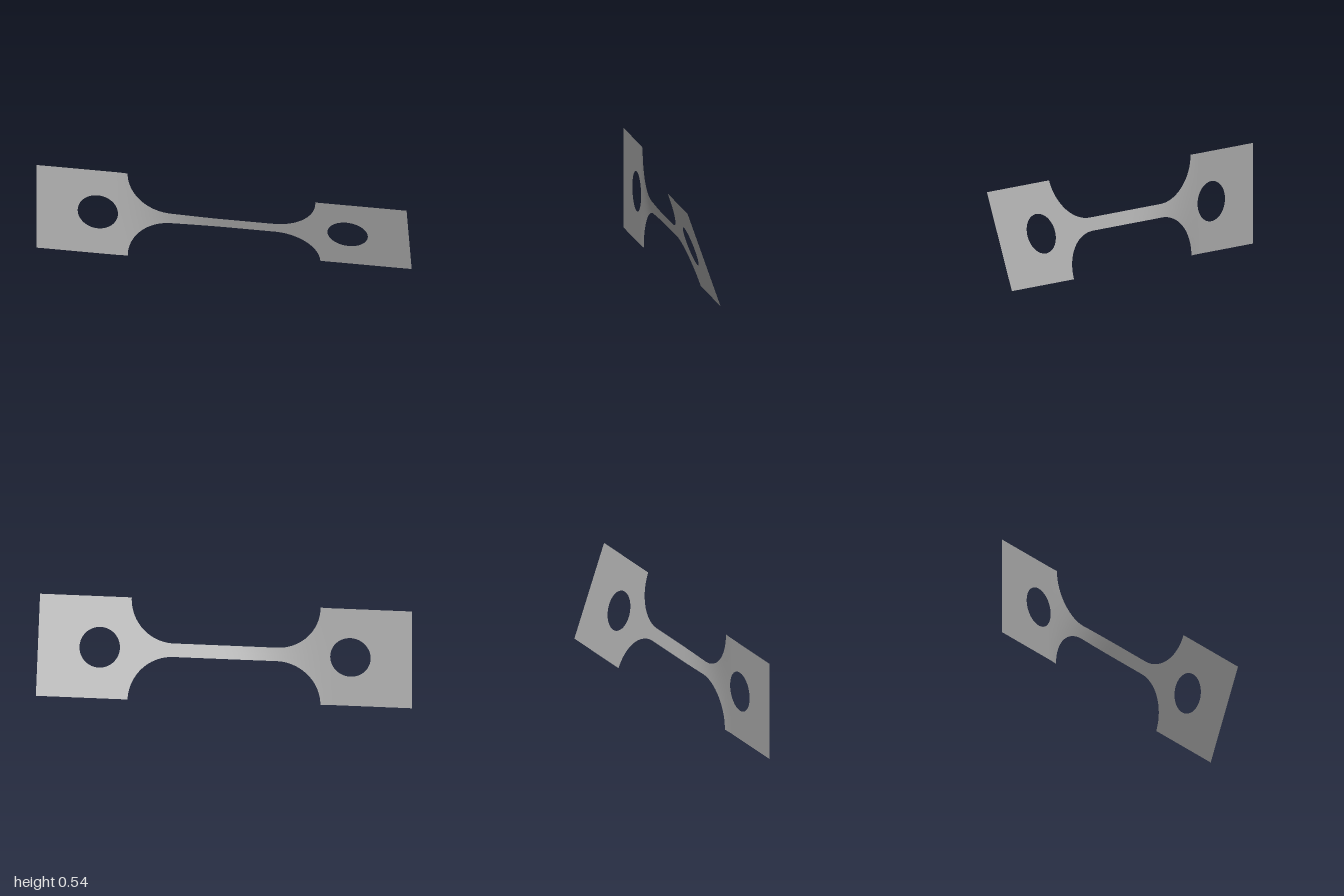
import * as THREE from 'three';
import { mergeVertices } from 'three/addons/utils/BufferGeometryUtils.js';

const MID = 0.271;         // height of the long axis
const HALF = 0.271;        // half height of the grips
const R = 0.235;           // fillet radius
const GRIP = 0.51;         // inner end of each grip
const HOLE_X = 0.67, HOLE_R = 0.108;
const TWIST = 0.337;       // radians, reached along the neck

const steel = new THREE.MeshStandardMaterial({ color: 0xb4b4b4, side: THREE.DoubleSide });
steel.name = 'grey steel';

// Twist angle about the long axis
const twistAt = (x) => TWIST * THREE.MathUtils.smoothstep(x, -0.58, 0.02);

// Columns across the sheet: position x, outer half height h, inner half height g (hole)
function halfColumns() {
  const cols = [];
  const line = (a, b, n, h) => {
    for (let i = 0; i < n; i++) cols.push({ x: a + ((b - a) * i) / n, h, g: 0 });
  };
  line(1, HOLE_X + HOLE_R, 4, HALF);
  for (let i = 0; i < 32; i++) {
    const t = (Math.PI * i) / 32;
    cols.push({ x: HOLE_X + HOLE_R * Math.cos(t), h: HALF, g: HOLE_R * Math.sin(t) });
  }
  line(HOLE_X - HOLE_R, GRIP, 4, HALF);
  for (let i = 0; i < 24; i++) {
    const t = (Math.PI / 2) * (i / 24);
    cols.push({ x: GRIP - R * (1 - Math.cos(t)), h: HALF - R * Math.sin(t), g: 0 });
  }
  line(GRIP - R, 0, 16, HALF - R);
  return cols;
}

// Strip above (side = 1) or below (side = -1) the long axis
function addStrip(cols, side, pos, idx) {
  const rows = 6, base = pos.length / 3;
  for (const { x, h, g } of cols) {
    const a = twistAt(x);
    for (let j = 0; j <= rows; j++) {
      const v = side * (g + ((h - g) * j) / rows);
      pos.push(x, MID + v * Math.cos(a), v * Math.sin(a));
    }
  }
  for (let i = 0; i < cols.length - 1; i++) {
    for (let j = 0; j < rows; j++) {
      const p = base + i * (rows + 1) + j, q = p + rows + 1;
      if (side > 0) idx.push(p, q, q + 1, p, q + 1, p + 1);
      else idx.push(p, q + 1, q, p, p + 1, q + 1);
    }
  }
}

export function createModel() {
  const group = new THREE.Group();
  group.name = 'twistedTestStrip';

  // Mirror the right half's outline to the left
  const right = halfColumns();
  const left = right.map((c) => ({ ...c, x: -c.x }));
  const cols = [...left, { x: 0, h: HALF - R, g: 0 }, ...right.reverse()];

  const pos = [], idx = [];
  addStrip(cols, 1, pos, idx);
  addStrip(cols, -1, pos, idx);
  let geo = new THREE.BufferGeometry();
  geo.setAttribute('position', new THREE.Float32BufferAttribute(pos, 3));
  geo.setIndex(idx);
  geo = mergeVertices(geo, 1e-5);
  geo.computeVertexNormals();

  const sheet = new THREE.Mesh(geo, steel);
  sheet.name = 'twistedSheet';
  group.add(sheet);
  return group;
}
